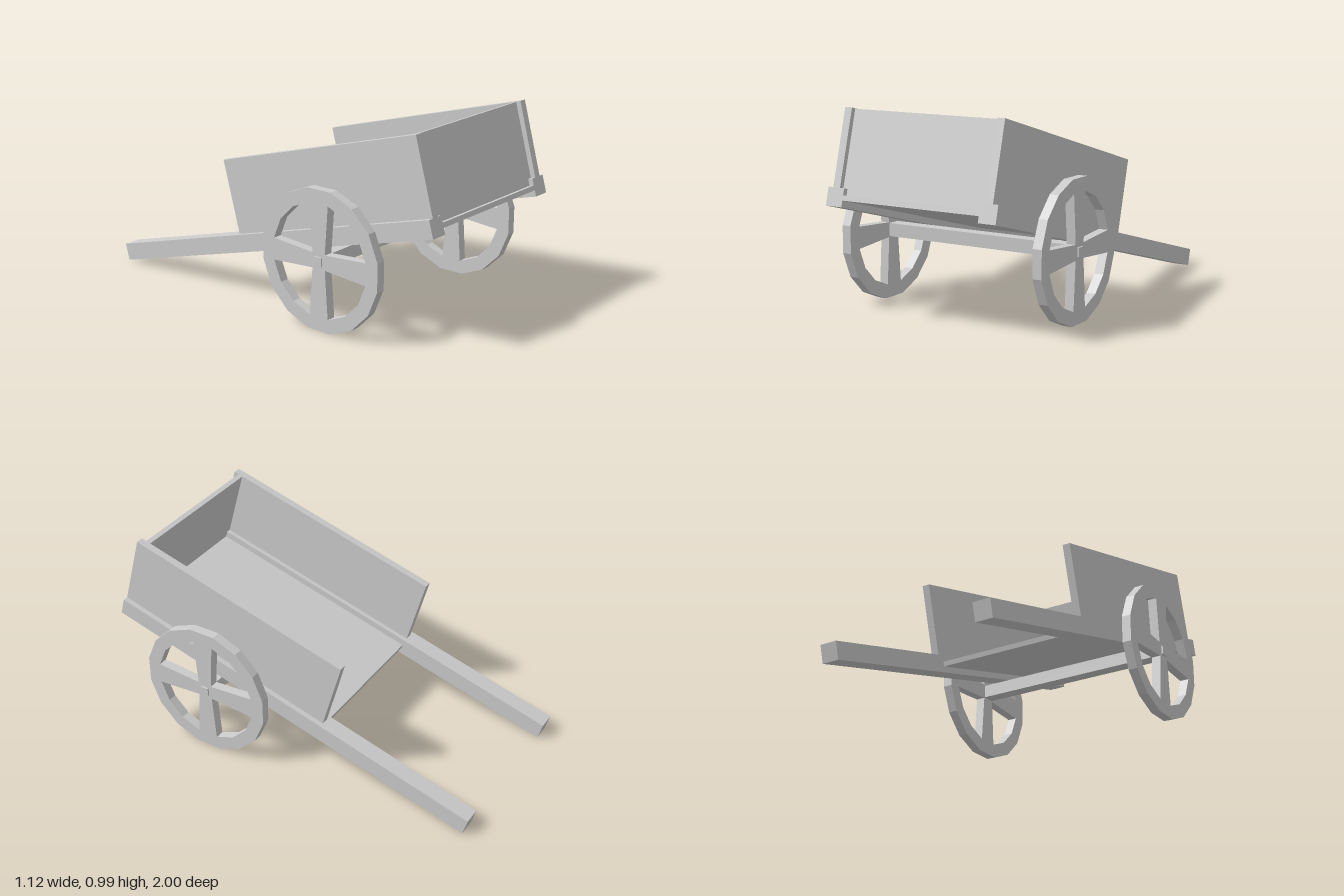
import * as THREE from 'three';

const material = new THREE.MeshStandardMaterial({ color: 0xcccccc, flatShading: true });

// Box given by its min/max extents on each axis
function box(name, [x0, x1], [y0, y1], [z0, z1]) {
  const mesh = new THREE.Mesh(new THREE.BoxGeometry(x1 - x0, y1 - y0, z1 - z0), material);
  mesh.position.set((x0 + x1) / 2, (y0 + y1) / 2, (z0 + z1) / 2);
  mesh.name = name;
  return mesh;
}

// Point on a 16-sided polygon whose sides rest flat on the ground
const SIDES = 16;
const corner = (r, i) => {
  const a = ((i + 0.5) / SIDES) * Math.PI * 2;
  return new THREE.Vector2(r * Math.cos(a), r * Math.sin(a));
};

// Rim with four flared spokes, cut from one slab
function wheelGeometry(width) {
  const shape = new THREE.Shape(Array.from({ length: SIDES }, (_, i) => corner(0.349, i)));
  for (let q = 0; q < 4; q++) {
    const inner = new THREE.Vector2(0.037, 0.037).rotateAround(new THREE.Vector2(), (q * Math.PI) / 2);
    const points = [inner];
    for (let i = 0; i < 4; i++) points.push(corner(0.28, q * 4 + i));
    shape.holes.push(new THREE.Path(points.reverse()));
  }
  const geometry = new THREE.ExtrudeGeometry(shape, { depth: width, bevelEnabled: false });
  geometry.translate(0, 0, -width / 2);
  return geometry.rotateY(Math.PI / 2);
}

export function createModel() {
  const model = new THREE.Group();
  model.name = 'handcart';

  // Tilted body, its origin on the lower front edge of the shafts
  const body = new THREE.Group();
  body.name = 'body';
  body.position.set(0, 0.555, 1);
  body.rotation.x = -Math.atan2(0.55, 1.975);
  model.add(body);

  body.add(box('floor', [-0.37, 0.37], [0.031, 0.055], [-1.205, 0]));
  body.add(box('frontBoard', [-0.395, 0.395], [0.055, 0.459], [-0.05, -0.025]));

  // Axle with thinner square ends through the wheels
  const axleY = 0.347, axleZ = 0.425;
  const axle = new THREE.Group();
  axle.name = 'axle';
  axle.position.set(0, axleY, axleZ);
  axle.add(box('axleBeam', [-0.51, 0.51], [-0.033, 0.033], [-0.033, 0.033]));
  axle.add(box('axlePin', [-0.56, 0.56], [-0.022, 0.022], [-0.022, 0.022]));
  model.add(axle);

  const wheel = wheelGeometry(0.047);
  for (const [side, s] of [['left', 1], ['right', -1]]) {
    const span = (a, b) => (s > 0 ? [a, b] : [-b, -a]);
    body.add(box(side + 'Shaft', span(0.37, 0.46), [0, 0.088], [-2.05, 0]));
    body.add(box(side + 'Panel', span(0.394, 0.433), [0.088, 0.461], [-1.207, 0]));

    const mesh = new THREE.Mesh(wheel, material);
    mesh.name = side + 'Wheel';
    mesh.position.set(s * 0.528, axleY, axleZ);
    model.add(mesh);
  }
  return model;
}
